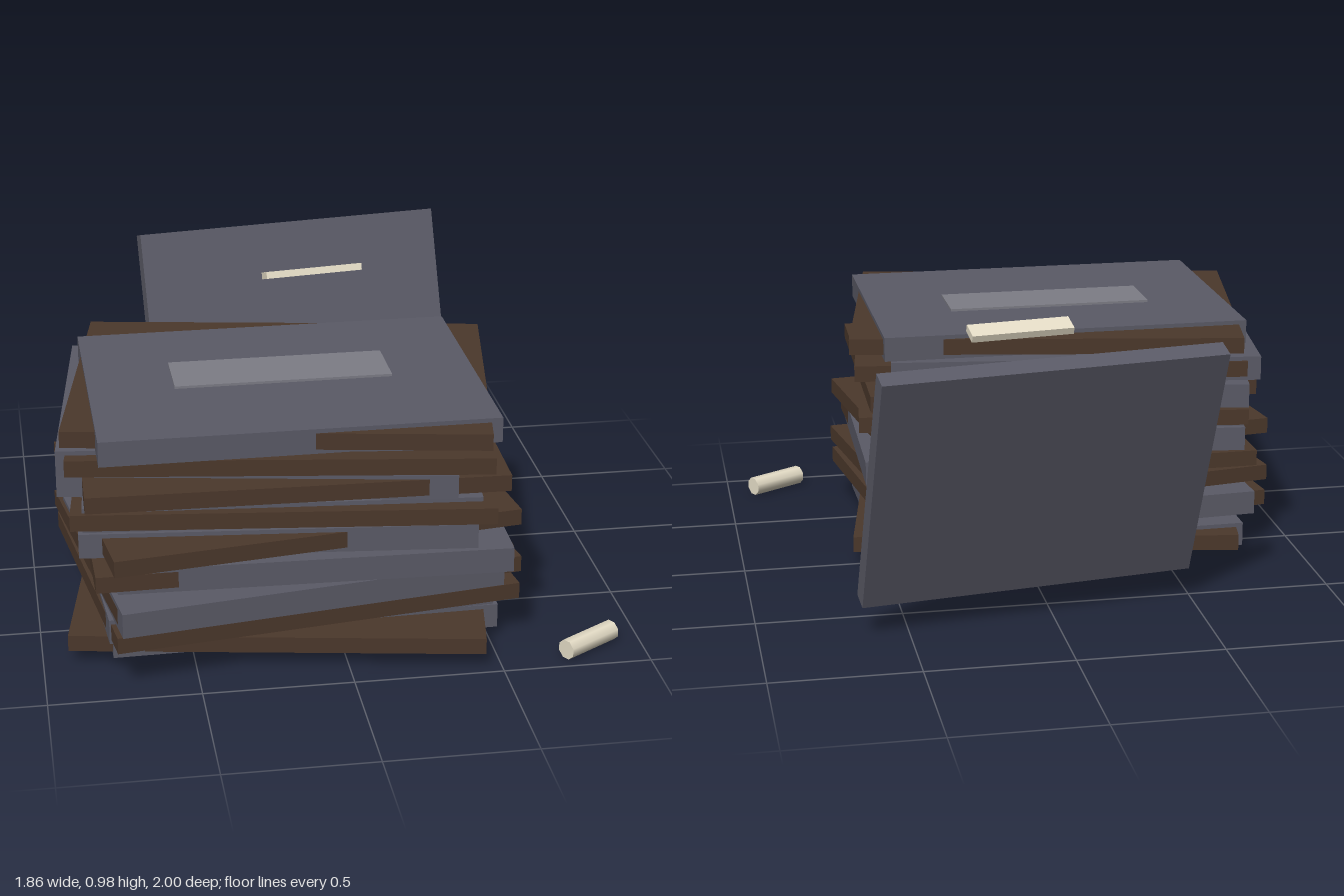
import * as THREE from 'three';

const GREY = 0x5a5a66, BROWN = 0x4b382b, CREAM = 0xe4dcc6, LABEL = 0x7d7d86;

function add(parent, name, geometry, color, position, rotation = [0, 0, 0]) {
  const mesh = new THREE.Mesh(geometry, new THREE.MeshStandardMaterial({ color }));
  mesh.name = name;
  mesh.position.set(...position);
  mesh.rotation.set(...rotation, 'YXZ');
  parent.add(mesh);
  return mesh;
}

const box = (w, h, d) => new THREE.BoxGeometry(w, h, d);

// Stack from bottom to top: [slab x, z, turn], [board x, z, turn]
const LAYERS = [
  [[-0.13, 0.30, 0.02], [-0.153, 0.363, -0.167]],
  [[-0.17, 0.34, 0.07], [-0.152, 0.365, 0.14]],
  [[-0.176, 0.437, 0.146], [-0.153, 0.363, 0.16]],
  [[-0.095, 0.41, -0.02], [-0.145, 0.365, 0.02]],
  [[-0.18, 0.36, -0.09], [-0.155, 0.367, 0.14]],
  [[-0.17, 0.355, -0.08], [-0.155, 0.367, -0.11]],
  [[-0.21, 0.325, -0.167], [-0.15, 0.375, -0.02]],
  [[-0.23, 0.325, -0.117], [-0.155, 0.365, -0.135]],
  [[-0.155, 0.405, 0.006], [-0.153, 0.363, -0.167]],
];

export function createModel() {
  const model = new THREE.Group();
  model.name = 'stackWithPanel';

  // Twisted stack: a thick grey slab with a thin, wider brown board through it
  const stack = new THREE.Group();
  stack.name = 'stack';
  model.add(stack);
  LAYERS.forEach(([slab, board], i) => {
    const y = 0.08 + i * 0.0915;
    add(stack, 'slab', box(1.3, 0.085, 0.945), GREY, [slab[0], y, slab[1]], [0, slab[2], 0]);
    add(stack, 'board', box(1.38, 0.056, 1.0), BROWN, [board[0], y, board[1]], [0, board[2], 0]);
  });

  // Plain label plate on the top slab
  add(stack, 'labelPlate', box(0.73, 0.012, 0.22), LABEL, [-0.155, 0.857, 0.36], [0, 0.006, 0]);

  // Panel leaning back behind the stack, with a bar in front of it
  const lean = [-0.345, 0.138, 0];
  add(model, 'leaningPanel', box(1.16, 0.9, 0.07), GREY, [0.067, 0.545, -0.735], lean);
  add(model, 'panelBar', box(0.36, 0.025, 0.07), CREAM, [0.068, 0.945, -0.37], lean);

  // Short rod lying on the ground at the front
  const rod = new THREE.CylinderGeometry(0.035, 0.035, 0.218, 8);
  rod.rotateY(Math.PI / 8).rotateZ(Math.PI / 2);
  add(model, 'rod', rod, CREAM, [0.815, 0.033, 0.888], [0, 0.555, 0]);

  return model;
}
